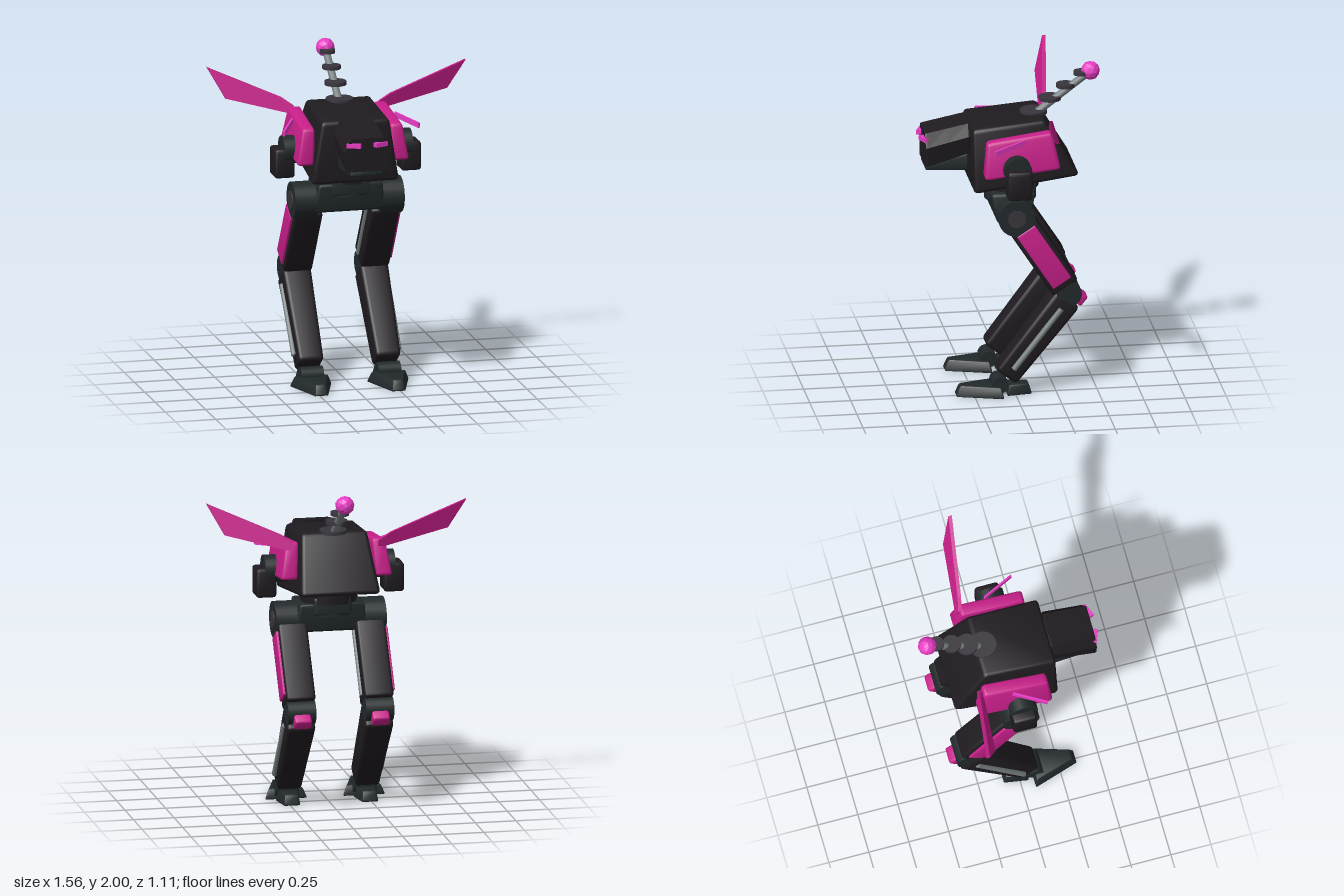
import * as THREE from 'three';
import { RoundedBoxGeometry } from 'three/addons/geometries/RoundedBoxGeometry.js';
import { toCreasedNormals } from 'three/addons/utils/BufferGeometryUtils.js';

const mat = (color) => new THREE.MeshStandardMaterial({ color });
const black = mat(0x1f1b20), dark = mat(0x22292b), rim = mat(0x39353d);
const steel = mat(0x788082), pink = mat(0xc81f8a), glow = mat(0xe83cc4);

function add(parent, name, geometry, material, x = 0, y = 0, z = 0) {
  const mesh = new THREE.Mesh(geometry, material);
  mesh.name = name;
  mesh.position.set(x, y, z);
  parent.add(mesh);
  return mesh;
}

const rounded = (w, h, d, r = 0.015) => toCreasedNormals(new RoundedBoxGeometry(w, h, d, 2, r), 0.6);

// Cylinder lying along x
const axle = (r, length) => new THREE.CylinderGeometry(r, r, length, 24).rotateZ(Math.PI / 2);

// Bevelled block whose four long edges are given as [z, y, xInner, xOuter]:
// bottom back, bottom front, top back, top front. side -1 mirrors it.
function block(edges, r = 0.02, side = 1) {
  const e = edges.map(([z, y, a, b]) => [z, y, Math.min(a * side, b * side), Math.max(a * side, b * side)]);
  const span = (k) => Math.max(...e.map((q) => q[k])) - Math.min(...e.map((q) => q[k]));
  const w = Math.max(...e.map((q) => q[3])) - Math.min(...e.map((q) => q[2]));
  const h = span(1), d = span(0);
  const g = new RoundedBoxGeometry(w, h, d, 2, r);
  const p = g.attributes.position;
  const mix = THREE.MathUtils.lerp;
  for (let i = 0; i < p.count; i++) {
    const u = p.getX(i) / w + 0.5, v = p.getY(i) / h + 0.5, t = p.getZ(i) / d + 0.5;
    const at = (k) => mix(mix(e[0][k], e[1][k], t), mix(e[2][k], e[3][k], t), v);
    p.setXYZ(i, mix(at(2), at(3), u), at(1), at(0));
  }
  return toCreasedNormals(g, 0.6);
}

const centred = (z, y, hw) => [z, y, -hw, hw];

function polygon(points) {
  return new THREE.Shape(points.map(([x, y]) => new THREE.Vector2(x, y)));
}

function makeHead() {
  const head = new THREE.Group();
  head.name = 'head';
  // Chamfered section swept forward, tapering and drooping towards the front
  const section = polygon([[-0.125, 0], [0.125, 0], [0.14, 0.6], [0.1, 1], [-0.1, 1], [-0.14, 0.6]]);
  const g = new THREE.ExtrudeGeometry(section, {
    depth: 0.25, steps: 2, bevelEnabled: true, bevelThickness: 0.01, bevelSize: 0.004, bevelSegments: 1,
  });
  const p = g.attributes.position;
  for (let i = 0; i < p.count; i++) {
    const t = p.getZ(i) / 0.25;
    const low = THREE.MathUtils.lerp(1.5, 1.425, t), high = THREE.MathUtils.lerp(1.68, 1.63, t);
    p.setXYZ(i, p.getX(i), THREE.MathUtils.lerp(low, high, p.getY(i)), 0.265 + p.getZ(i));
  }
  g.computeVertexNormals();
  add(head, 'skull', g, black);
  add(head, 'neck', rounded(0.2, 0.15, 0.12), dark, 0, 1.57, 0.25);
  add(head, 'jaw', block([
    centred(0.265, 1.385, 0.115), centred(0.52, 1.395, 0.1), centred(0.265, 1.49, 0.115), centred(0.52, 1.43, 0.1),
  ], 0.008), dark);
  for (const s of [-1, 1]) {
    add(head, 'eye', new THREE.BoxGeometry(0.085, 0.027, 0.03), glow, s * 0.083, 1.588, 0.527).rotation.y = s * 0.38;
  }
  return head;
}

function makeAntenna() {
  const antenna = new THREE.Group();
  antenna.name = 'antenna';
  const path = new THREE.LineCurve3(new THREE.Vector3(0, 1.68, -0.15), new THREE.Vector3(0, 1.945, -0.5));
  add(antenna, 'stem', new THREE.TubeGeometry(path, 1, 0.023, 12), steel);
  for (const [y, z, r] of [[1.705, -0.15, 0.083], [1.785, -0.25, 0.067], [1.86, -0.345, 0.056], [1.935, -0.44, 0.046]]) {
    add(antenna, 'disc', new THREE.CylinderGeometry(r, r, 0.022, 24), rim, 0, y, z);
  }
  const ball = new THREE.MeshStandardMaterial({ color: 0xe83cc4, flatShading: true });
  add(antenna, 'tip', new THREE.IcosahedronGeometry(0.058, 1), ball, 0, 1.945, -0.497);
  return antenna;
}

function makeShoulder(s) {
  const shoulder = new THREE.Group();
  shoulder.name = s > 0 ? 'leftShoulder' : 'rightShoulder';
  add(shoulder, 'shoulderPad', block([
    [-0.27, 1.44, 0.24, 0.345], [0.195, 1.39, 0.24, 0.35], [-0.22, 1.665, 0.225, 0.305], [0.175, 1.615, 0.235, 0.31],
  ], 0.025, s), pink);
  add(shoulder, 'armJoint', axle(0.085, 0.14), dark, s * 0.33, 1.455, 0);
  add(shoulder, 'armPod', rounded(0.125, 0.18, 0.15, 0.02), black, s * 0.393, 1.38, -0.005);
  // Thin blade pointing forwards and outwards
  const blade = add(shoulder, 'sideBlade', new THREE.BoxGeometry(0.012, 0.032, 0.22), glow, s * 0.37, 1.603, 0.045);
  blade.lookAt(s * 0.47, 1.575, 0.235);
  // Swept wing; the two wings lean opposite ways
  const shape = polygon([[0.26, 1.62], [0.3, 1.62], [0.68, 1.725], [0.78, 1.91], [0.33, 1.71], [0.26, 1.66]]
    .map(([x, y]) => [s * x, y]));
  const wing = new THREE.ExtrudeGeometry(shape, { depth: 0.022, bevelEnabled: false });
  const p = wing.attributes.position;
  for (let i = 0; i < p.count; i++) {
    p.setZ(i, p.getZ(i) - 0.246 + s * 0.33 * (p.getY(i) - 1.62));
  }
  wing.computeVertexNormals();
  add(shoulder, 'wing', wing, pink);
  return shoulder;
}

function makeLeg(s) {
  const leg = new THREE.Group();
  leg.name = s > 0 ? 'leftLeg' : 'rightLeg';
  const x = s * 0.24;
  add(leg, 'hip', axle(0.112, 0.145), dark, s * 0.267, 1.137, 0);
  add(leg, 'hipCap', axle(0.055, 0.012), rim, s * 0.341, 1.137, 0);

  const thigh = new THREE.Group();
  thigh.name = 'thigh';
  thigh.position.set(x, 0.885, -0.165);
  thigh.rotation.x = 0.575;
  add(thigh, 'thighBody', rounded(0.18, 0.5, 0.18, 0.02), black);
  add(thigh, 'thighPlate', rounded(0.025, 0.41, 0.13, 0.008), pink, s * 0.092, 0, 0);
  add(thigh, 'thighPiston', new THREE.CylinderGeometry(0.017, 0.017, 0.42, 12), steel, -s * 0.088, 0, 0);

  add(leg, 'knee', axle(0.076, 0.172), dark, x, 0.635, -0.322);
  add(leg, 'kneePad', rounded(0.105, 0.075, 0.09), pink, x, 0.598, -0.385).rotation.x = -0.68;

  const shin = new THREE.Group();
  shin.name = 'shin';
  shin.position.set(x, 0.36, -0.1275);
  shin.rotation.x = -0.663;
  add(shin, 'shinBody', block([
    centred(-0.076, -0.305, 0.077), centred(0.076, -0.305, 0.077),
    centred(-0.09, 0.305, 0.089), centred(0.09, 0.305, 0.089),
  ], 0.026), black);
  add(shin, 'shinPiston', new THREE.CylinderGeometry(0.018, 0.018, 0.47, 12), steel, s * 0.085, 0, 0);

  add(leg, 'ankle', axle(0.05, 0.14), dark, x, 0.07, 0.095);
  // Toe narrows to the front, heel to the back
  add(leg, 'toe', block([
    [0.08, 0, 0.107, 0.373], [0.362, 0, 0.2, 0.28], [0.095, 0.065, 0.135, 0.345], [0.335, 0.065, 0.21, 0.27],
  ], 0.01, s), dark);
  add(leg, 'heel', block([
    [-0.1, 0, 0.19, 0.29], [0.055, 0, 0.165, 0.315], [-0.08, 0.065, 0.2, 0.28], [0.04, 0.065, 0.18, 0.3],
  ], 0.01, s), dark);
  leg.add(thigh, shin);
  return leg;
}

export function createModel() {
  const model = new THREE.Group();
  model.name = 'walkerRobot';

  // Torso: narrow on top, overhanging at the lower back
  add(model, 'torso', block([
    centred(-0.4, 1.36, 0.245), centred(0.25, 1.28, 0.275), centred(-0.19, 1.71, 0.2), centred(0.25, 1.67, 0.21),
  ], 0.03), black);

  // Waist and pelvis
  add(model, 'waistRing', new THREE.CylinderGeometry(0.17, 0.17, 0.09, 32), black, 0, 1.295, -0.01);
  add(model, 'waist', new THREE.CylinderGeometry(0.15, 0.15, 0.12, 32), dark, 0, 1.23, 0);
  add(model, 'waistBlock', rounded(0.23, 0.11, 0.3), dark, 0, 1.235, 0);
  add(model, 'pelvis', block([
    centred(-0.1, 1.07, 0.22), centred(0.1, 1.07, 0.22), centred(-0.135, 1.25, 0.2), centred(0.135, 1.25, 0.2),
  ], 0.02), dark);

  model.add(makeHead(), makeAntenna());
  for (const s of [-1, 1]) model.add(makeShoulder(s), makeLeg(s));
  return model;
}
